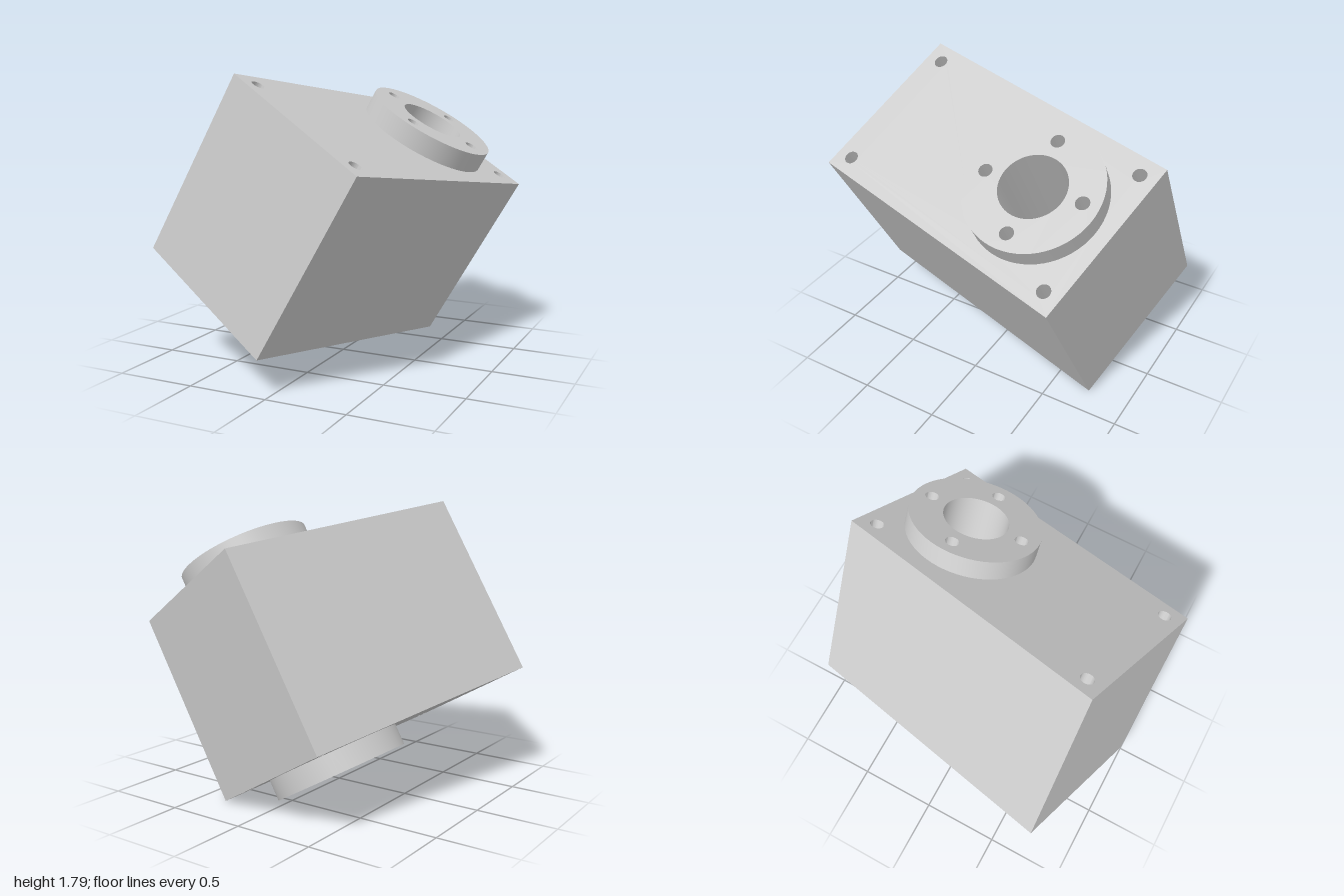
import * as THREE from 'three';
import { toCreasedNormals } from 'three/addons/utils/BufferGeometryUtils.js';

const W = 1.054, L = 1.793, H = 0.61;          // block width, length, half height
const TOP = 0.738, FLANGE_R = 0.412, BORE_R = 0.203, AXIS_Z = -0.395;
const HOLE_R = 0.042, HOLE_DEPTH = 0.3, RING_R = 0.309;
const rad = THREE.MathUtils.degToRad;
const material = new THREE.MeshStandardMaterial({ color: 0xcccccc });

function add(parent, name, geometry, x = 0, y = 0, z = 0) {
  const mesh = new THREE.Mesh(geometry, material);
  mesh.name = name;
  mesh.position.set(x, y, z);
  parent.add(mesh);
}

// Turned surface: rising profiles face outwards, falling ones inwards
function turned(points, segments) {
  const profile = points.map(([r, y]) => new THREE.Vector2(r, y));
  return toCreasedNormals(new THREE.LatheGeometry(profile, segments), 0.7);
}

// Flat face looking up, pierced by round holes given as [x, z, radius]
function piercedFace(shape, holes) {
  for (const [x, z, r] of holes) {
    shape.holes.push(new THREE.Path().absarc(x, -z, r, 0, Math.PI * 2, true));
  }
  return new THREE.ShapeGeometry(shape, 32).rotateX(-Math.PI / 2);
}

const blindHole = () => turned([[HOLE_R, 0], [HOLE_R, -HOLE_DEPTH], [0, -HOLE_DEPTH]], 64);

// One end of the block: drilled plate and bolt flange
function createEnd(name, boltAngle) {
  const end = new THREE.Group();
  end.name = name;

  const corners = [];
  for (const sx of [-1, 1]) for (const sz of [-1, 1]) corners.push([sx * 0.42, sz * 0.79, HOLE_R]);
  const plate = new THREE.Shape([[-1, -1], [1, -1], [1, 1], [-1, 1]]
    .map(([x, y]) => new THREE.Vector2(x * W / 2, y * L / 2)));
  add(end, 'endFace', piercedFace(plate, [...corners, [0, AXIS_Z, FLANGE_R - 0.01]]), 0, H, 0);
  for (const [x, z] of corners) add(end, 'cornerHole', blindHole(), x, H, z);

  const bolts = [0, 1, 2, 3].map((i) => {
    const a = boltAngle + i * Math.PI / 2;
    return [RING_R * Math.cos(a), RING_R * Math.sin(a), HOLE_R];
  });
  const disc = new THREE.Shape().absarc(0, 0, FLANGE_R, 0, Math.PI * 2, false);
  add(end, 'flangeFace', piercedFace(disc, [...bolts, [0, 0, BORE_R]]), 0, TOP, AXIS_Z);
  add(end, 'flangeRim', turned([[FLANGE_R, H], [FLANGE_R, TOP]], 64), 0, 0, AXIS_Z);
  for (const [x, z] of bolts) add(end, 'flangeHole', blindHole(), x, TOP, AXIS_Z + z);
  return end;
}

export function createModel() {
  const model = new THREE.Group();
  model.name = 'flangedHousing';
  const body = new THREE.Group();
  body.name = 'body';

  // Side walls: a box without its top and bottom
  const walls = new THREE.BoxGeometry(W, 2 * H, L);
  const index = Array.from(walls.index.array);
  walls.setIndex([...index.slice(0, 12), ...index.slice(24)]);
  walls.clearGroups();
  add(body, 'sideWalls', walls);

  // Bore running right through both flanges
  add(body, 'bore', turned([[BORE_R, TOP], [BORE_R, -TOP]], 64), 0, 0, AXIS_Z);

  // The lower end mirrors the upper one
  const boltAngle = rad(-12.6);
  const lower = createEnd('lowerEnd', -boltAngle);
  lower.rotation.z = Math.PI;
  body.add(createEnd('upperEnd', boltAngle), lower);

  // Tilted pose of the whole body
  body.rotation.set(0, rad(-14.1), rad(-30), 'ZYX');
  body.position.y = 0.895;
  model.add(body);
  return model;
}
